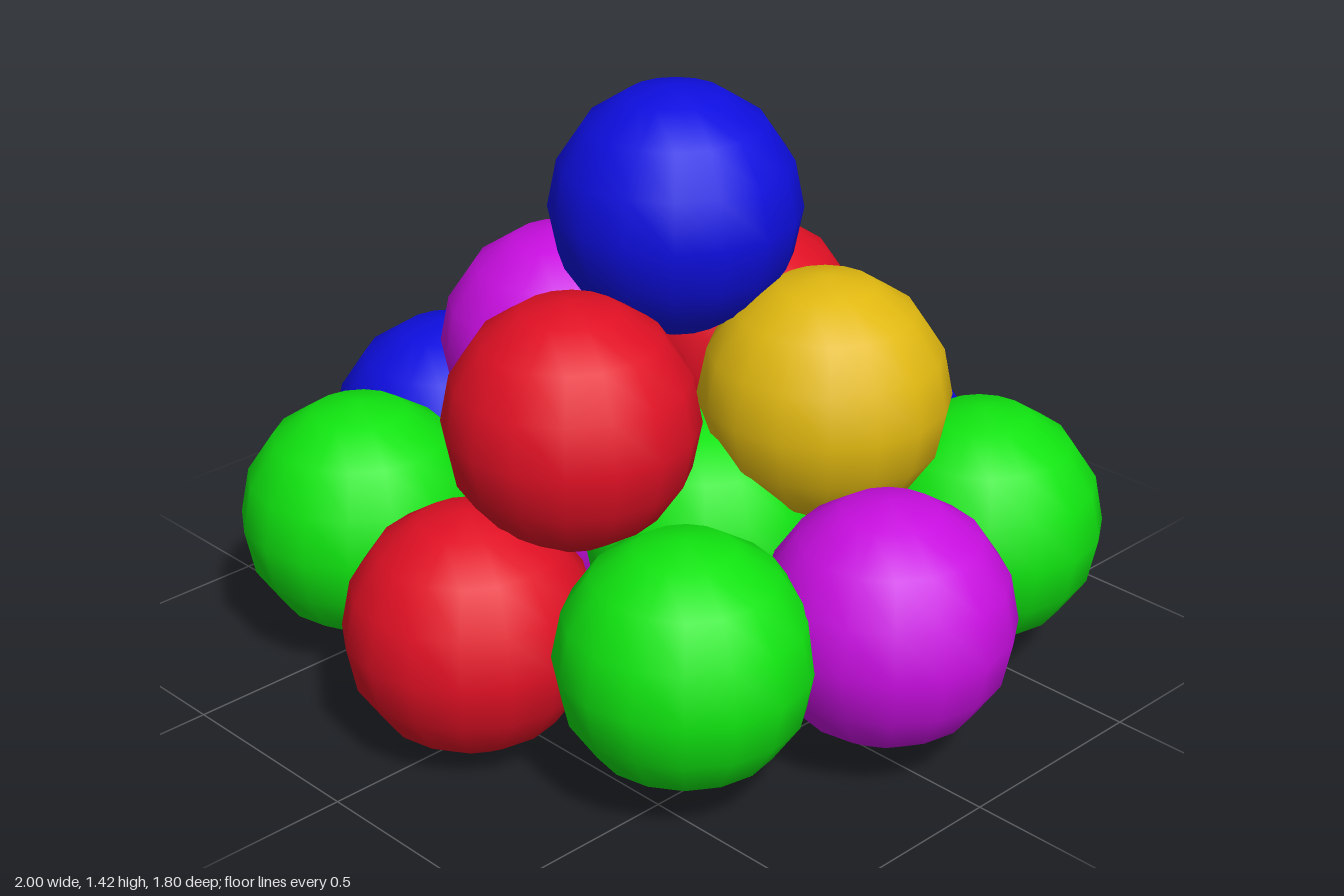
import * as THREE from 'three';

const RADIUS = 0.291;

// Ball centres by layer: [colour, x, y, z]
const LAYERS = {
  lowerBall: [
    ['red', 0.005, 0.295, 0.606],
    ['green', -0.515, 0.346, 0.495],
    ['green', 0.507, 0.35, 0.425],
    ['purple', 0.705, 0.358, -0.007],
    ['blue', -0.709, 0.358, 0.06],
    ['blue', 0.035, 0.357, -0.61],
    ['yellow', -0.476, 0.342, -0.443],
    ['green', 0.562, 0.376, -0.487],
  ],
  innerBall: [
    ['green', 0.18, 0.41, 0.04],
    ['purple', -0.18, 0.41, 0.08],
  ],
  upperBall: [
    ['red', 0.09, 0.755, 0.37],
    ['purple', -0.314, 0.712, 0.03],
    ['yellow', 0.352, 0.735, -0.17],
    ['red', -0.072, 0.707, -0.332],
  ],
  topBall: [['blue', 0.015, 1.135, -0.025]],
};

const COLOURS = {
  red: 0xe01024,
  green: 0x10e410,
  blue: 0x0e0ee0,
  yellow: 0xe0b810,
  purple: 0xc80ee0,
};

export function createModel() {
  const group = new THREE.Group();
  group.name = 'ballPile';

  const materials = {};
  for (const [name, color] of Object.entries(COLOURS)) {
    materials[name] = new THREE.MeshStandardMaterial({ color });
    materials[name].name = name;
  }

  // One smooth, coarse sphere shared by every ball
  const ball = new THREE.SphereGeometry(RADIUS, 16, 8);

  for (const [layer, balls] of Object.entries(LAYERS)) {
    balls.forEach(([colour, x, y, z], i) => {
      const mesh = new THREE.Mesh(ball, materials[colour]);
      mesh.name = `${layer}${i + 1}`;
      mesh.position.set(x, y, z);
      group.add(mesh);
    });
  }
  return group;
}
